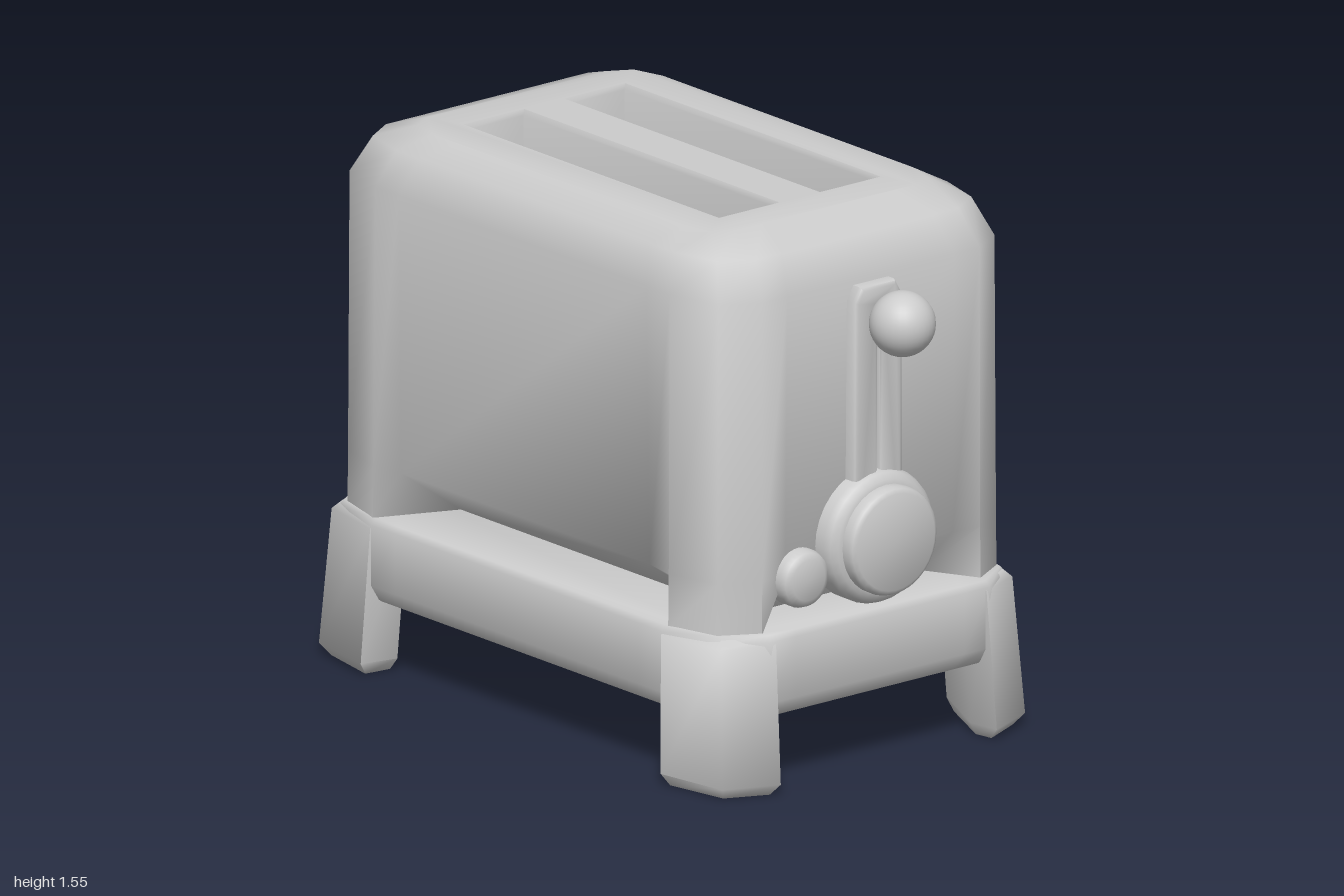
import * as THREE from 'three';
import { mergeGeometries, toCreasedNormals } from 'three/addons/utils/BufferGeometryUtils.js';

const material = new THREE.MeshStandardMaterial({ color: 0xcccccc });

function addMesh(parent, name, geometry) {
  const mesh = new THREE.Mesh(geometry, material);
  mesh.name = name;
  parent.add(mesh);
  return mesh;
}

// Skin through closed loops of [x, z] points, each at its own height
function loft(rings) {
  const n = rings[0].pts.length, pos = [], index = [];
  rings.forEach(r => r.pts.forEach(([x, z]) => pos.push(x, r.y, z)));
  for (let i = 0; i < rings.length - 1; i++) {
    for (let j = 0; j < n; j++) {
      const p = i * n + j, q = i * n + (j + 1) % n;
      index.push(p, p + n, q, q, p + n, q + n);
    }
  }
  const g = new THREE.BufferGeometry();
  g.setAttribute('position', new THREE.Float32BufferAttribute(pos, 3));
  g.setIndex(index);
  return g;
}

// Flat lid over a loop, facing up or down, with optional holes
function lid(ring, up = true, holes = []) {
  const s = up ? -1 : 1;
  const toVectors = pts => pts.map(([x, z]) => new THREE.Vector2(x, s * z));
  const shape = new THREE.Shape(toVectors(ring.pts));
  holes.forEach(h => shape.holes.push(new THREE.Path(toVectors(h))));
  const g = new THREE.ShapeGeometry(shape);
  g.rotateX(s * Math.PI / 2).translate(0, ring.y, 0);
  g.deleteAttribute('uv');
  g.deleteAttribute('normal');
  return g;
}

const join = parts =>
  toCreasedNormals(mergeGeometries(parts.map(p => p.toNonIndexed())), 1.25);

// Rectangle with three-point corners; dx and dz sink the panels between them
function panelLoop(y, a, b, cx, cz, dx = 0, dz = 0) {
  const quarter = [
    [a - dx, b - cz - 0.1], [a, b - cz], [a - 0.28 * cx, b - 0.28 * cz],
    [a - cx, b], [a - cx - 0.09, b - dz],
  ];
  const flip = (sx, sz) => quarter.map(([x, z]) => [x * sx, z * sz]);
  return {
    y,
    pts: [...flip(1, 1), ...flip(-1, 1).reverse(), ...flip(-1, -1), ...flip(1, -1).reverse()],
  };
}

const rect = (cx, hx, hz) => [[cx + hx, -hz], [cx + hx, hz], [cx - hx, hz], [cx - hx, -hz]];

// Round part turned about the z axis; profile is [radius, z]
function knob(profile, x, y) {
  const g = new THREE.LatheGeometry(profile.map(p => new THREE.Vector2(...p)), 32);
  g.rotateX(Math.PI / 2).translate(x, y, 0);
  return toCreasedNormals(g, 1);
}

export function createModel() {
  const model = new THREE.Group();
  model.name = 'toaster';
  const housing = new THREE.Group();
  housing.name = 'housing';
  housing.position.z = -0.075;
  model.add(housing);

  // Body shell: panels undercut near the base, two bread slots in the top
  const bodyRings = [
    panelLoop(0.445, 0.54, 0.85, 0.15, 0.22, 0.24, 0.17),
    panelLoop(0.60, 0.538, 0.85, 0.15, 0.22, 0.015, 0.01),
    panelLoop(1.40, 0.533, 0.848, 0.145, 0.22),
    panelLoop(1.505, 0.49, 0.79, 0.13, 0.2),
    panelLoop(1.55, 0.41, 0.66, 0.09, 0.13),
  ];
  const slotXs = [-0.18, 0.18];
  const slotMouth = x => rect(x, 0.108, 0.545);
  addMesh(housing, 'body', join([
    loft(bodyRings),
    lid(bodyRings[4], true, slotXs.map(slotMouth)),
  ]));

  // Slot wells, skinned from the top down so they face inward
  slotXs.forEach(x => {
    const rings = [
      { y: 1.55, pts: slotMouth(x) },
      { y: 1.535, pts: rect(x, 0.1, 0.537) },
      { y: 0.95, pts: rect(x, 0.1, 0.537) },
    ];
    addMesh(housing, 'breadSlot', join([loft(rings), lid(rings[2])]));
  });

  // Base tray
  const baseRings = [
    panelLoop(0.20, 0.49, 0.82, 0.15, 0.25),
    panelLoop(0.215, 0.53, 0.865, 0.16, 0.26),
    panelLoop(0.26, 0.553, 0.888, 0.165, 0.27),
    panelLoop(0.435, 0.555, 0.89, 0.165, 0.27),
    panelLoop(0.452, 0.543, 0.878, 0.16, 0.265),
  ];
  addMesh(housing, 'base', join([
    loft(baseRings), lid(baseRings[0], false), lid(baseRings[4]),
  ]));

  // Splayed legs wrapping the base corners
  const legRings = [
    [0, [[0.55, 0.65], [0.515, 0.835], [0.395, 0.89], [0.385, 0.835], [0.47, 0.64]]],
    [0.035, [[0.575, 0.64], [0.54, 0.86], [0.385, 0.925], [0.37, 0.83], [0.465, 0.615]]],
    [0.425, [[0.558, 0.62], [0.518, 0.832], [0.375, 0.893], [0.355, 0.8], [0.45, 0.59]]],
    [0.445, [[0.54, 0.62], [0.5, 0.815], [0.375, 0.875], [0.355, 0.8], [0.45, 0.59]]],
  ];
  for (const sx of [1, -1]) for (const sz of [1, -1]) {
    const rings = legRings.map(([y, pts]) => {
      const p = pts.map(([x, z]) => [x * sx, z * sz]);
      return { y, pts: sx * sz < 0 ? p.reverse() : p };
    });
    addMesh(housing, (sz > 0 ? 'front' : 'back') + (sx > 0 ? 'Left' : 'Right') + 'Leg',
      join([loft(rings), lid(rings[0], false), lid(rings[3])]));
  }

  // Lever track with a narrow groove
  const track = new THREE.Shape([
    [-0.073, 0.62], [0.073, 0.62], [0.073, 1.34], [0.055, 1.373], [-0.055, 1.373], [-0.073, 1.34],
  ].map(p => new THREE.Vector2(...p)));
  track.holes.push(new THREE.Path(rect(0, 0.014, 0.3).map(([x, y]) => new THREE.Vector2(x, y + 1.03))));
  const trackGeometry = new THREE.ExtrudeGeometry(track, {
    depth: 0.05, bevelSize: 0.012, bevelThickness: 0.015, bevelSegments: 2,
  });
  addMesh(model, 'leverTrack', toCreasedNormals(trackGeometry.translate(0, 0, 0.745), 1));

  // Lever: stem and ball
  addMesh(model, 'leverStem', knob([[0.035, 0.76], [0.035, 0.87]], 0, 1.29));
  addMesh(model, 'leverBall', new THREE.SphereGeometry(0.092, 32, 20).translate(0, 1.295, 0.908));

  // Browning dial and small button
  addMesh(model, 'browningDial', knob([
    [0, 0.74], [0.192, 0.74], [0.192, 0.8], [0.184, 0.82], [0.168, 0.835], [0.155, 0.838],
    [0.155, 0.862], [0.15, 0.874], [0.138, 0.881], [0, 0.882],
  ], 0, 0.66));
  addMesh(model, 'cancelButton', knob([
    [0, 0.74], [0.083, 0.74], [0.083, 0.785], [0.076, 0.803], [0.058, 0.812], [0, 0.815],
  ], -0.253, 0.585));

  return model;
}
